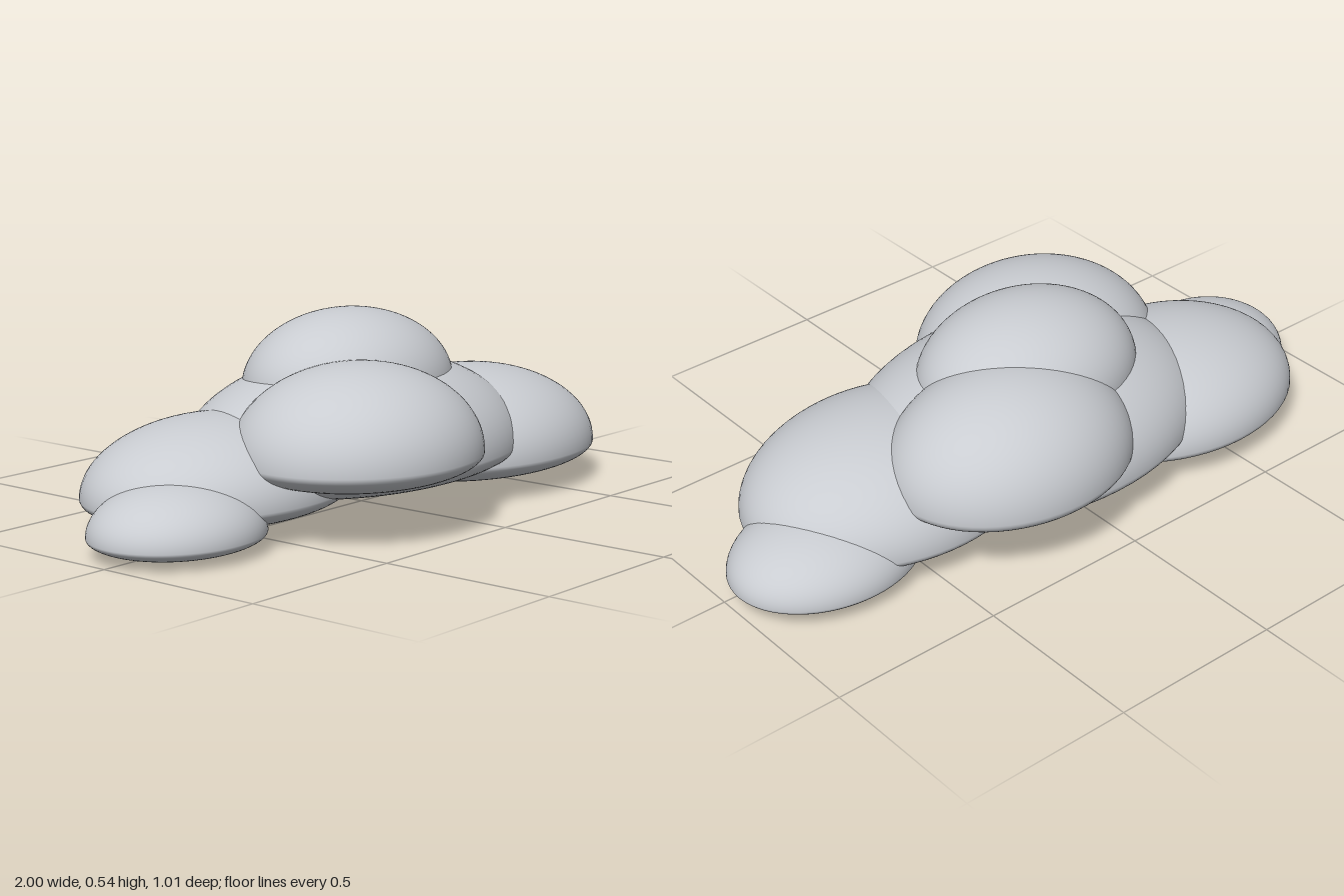
import * as THREE from 'three';

// Each puff: name, centre x, centre z, radius x, radius z, bottom y, widest y, top y
const PUFFS = [
  ['centrePuff', 0, -0.03, 0.56, 0.41, 0.05, 0.15, 0.42],
  ['topPuff', 0, -0.047, 0.33, 0.268, 0.255, 0.33, 0.543],
  ['frontRightPuff', -0.23, 0.18, 0.365, 0.323, 0.115, 0.2, 0.443],
  ['backLeftPuff', 0.2, -0.21, 0.367, 0.295, 0.13, 0.22, 0.477],
  ['leftPuff', 0.435, 0.03, 0.43, 0.343, 0.023, 0.105, 0.335],
  ['rightPuff', -0.47, -0.11, 0.405, 0.322, 0.022, 0.1, 0.305],
  ['leftTipPuff', 0.72, -0.07, 0.28, 0.222, 0.01, 0.06, 0.2],
  ['rightTipPuff', -0.75, 0.012, 0.25, 0.218, 0.0, 0.05, 0.187],
];

// Ellipsoid with a tall dome above its widest line and a shallow belly below
function puffGeometry(rx, rz, up, down) {
  const geo = new THREE.SphereGeometry(1, 64, 48);
  const pos = geo.attributes.position;
  const nor = geo.attributes.normal;
  const n = new THREE.Vector3();
  for (let i = 0; i < pos.count; i++) {
    const x = pos.getX(i), y = pos.getY(i), z = pos.getZ(i);
    const ry = y >= 0 ? up : down;
    pos.setXYZ(i, x * rx, y * ry, z * rz);
    n.set(x / rx, y / ry, z / rz).normalize();
    nor.setXYZ(i, n.x, n.y, n.z);
  }
  return geo;
}

export function createModel() {
  const cloud = new THREE.Group();
  cloud.name = 'cloud';
  const paleGrey = new THREE.MeshStandardMaterial({ color: 0xc9ccd1 });
  paleGrey.name = 'pale grey';

  for (const [name, x, z, rx, rz, bottom, middle, top] of PUFFS) {
    const puff = new THREE.Mesh(puffGeometry(rx, rz, top - middle, middle - bottom), paleGrey);
    puff.name = name;
    puff.position.set(x, middle, z);
    cloud.add(puff);
  }
  return cloud;
}
